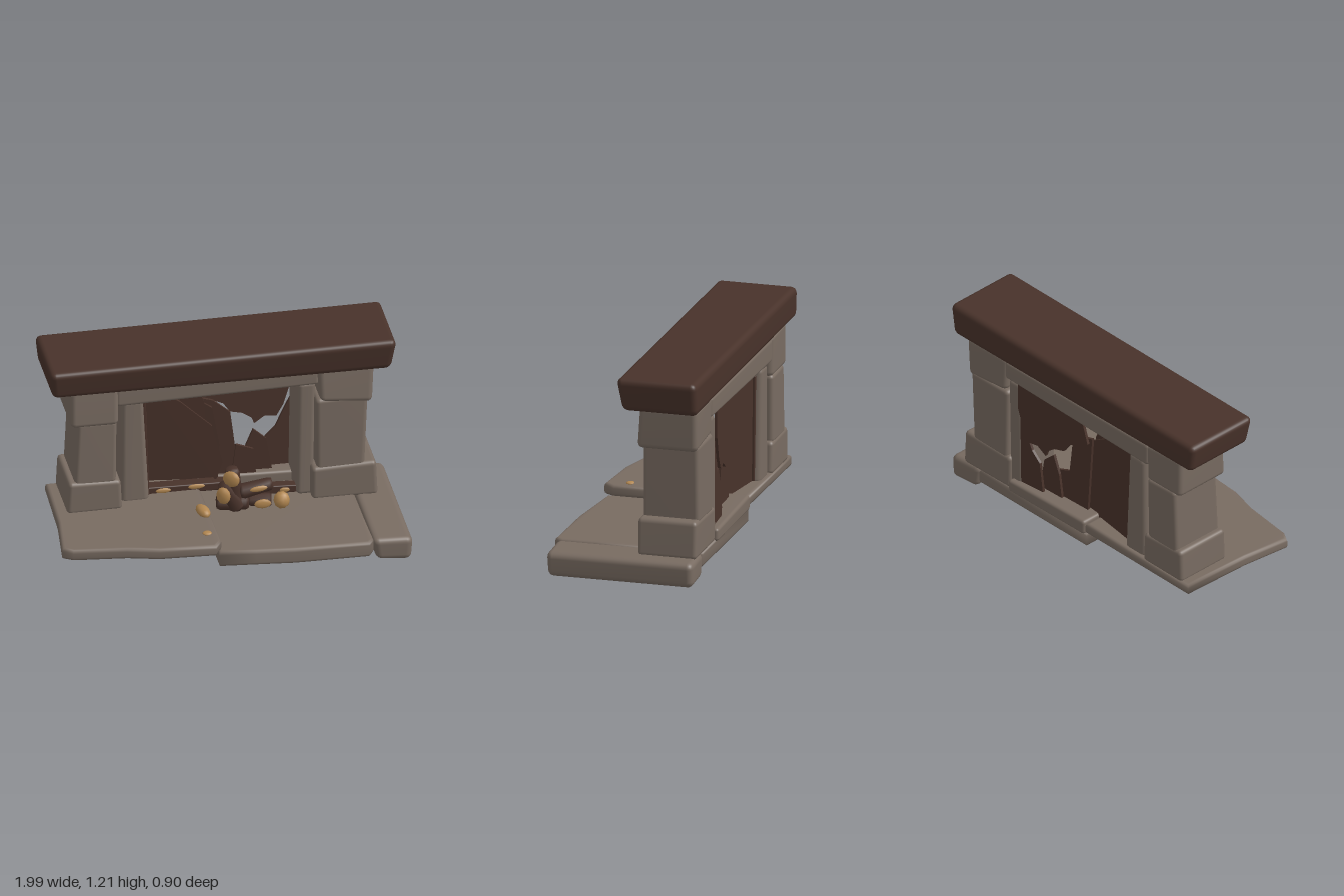
import * as THREE from 'three';
import { mergeVertices } from 'three/addons/utils/BufferGeometryUtils.js';
import { RoundedBoxGeometry } from 'three/addons/geometries/RoundedBoxGeometry.js';

const stone = new THREE.MeshStandardMaterial({ name: 'stone', color: 0x786b61 });
const darkWood = new THREE.MeshStandardMaterial({ name: 'darkWood', color: 0x48322a });
const rawWood = new THREE.MeshStandardMaterial({ name: 'rawWood', color: 0xb28751 });

const lerp = THREE.MathUtils.lerp;

// Move every vertex by a rule
function warp(geo, rule) {
  const p = geo.attributes.position, v = new THREE.Vector3();
  for (let i = 0; i < p.count; i++) {
    rule(v.fromBufferAttribute(p, i));
    p.setXYZ(i, v.x, v.y, v.z);
  }
  return geo;
}

function smooth(geo) {
  geo.deleteAttribute('normal');
  geo.deleteAttribute('uv');
  const merged = mergeVertices(geo, 1e-4);
  merged.clearGroups();
  merged.computeVertexNormals();
  return merged;
}

function part(name, geo, mat) {
  const mesh = new THREE.Mesh(geo, mat);
  mesh.name = name;
  return mesh;
}

// Rounded block fitted to a front quad (bl, br, tr, tl) and a depth range
function block(name, mat, quad, frontBottom, frontTop, back, radius = 0.025) {
  const [bl, br, tr, tl] = quad;
  const w = br[0] - bl[0], h = tl[1] - bl[1], d = frontTop - back;
  const geo = warp(new RoundedBoxGeometry(w, h, d, 3, radius), (v) => {
    const s = v.x / w + 0.5, t = v.y / h + 0.5, k = v.z / d + 0.5;
    v.set(
      lerp(lerp(bl[0], br[0], s), lerp(tl[0], tr[0], s), t),
      lerp(lerp(bl[1], br[1], s), lerp(tl[1], tr[1], s), t),
      lerp(back, lerp(frontBottom, frontTop, t), k));
  });
  return part(name, smooth(geo), mat);
}

function outline(points) {
  return new THREE.Shape(points.map(([x, y]) => new THREE.Vector2(x, y)));
}

// Bevelled floor slab from a plan outline given as x, z
function slab(name, plan, bottom, top, slope) {
  const b = 0.02;
  const geo = new THREE.ExtrudeGeometry(outline(plan.map(([x, z]) => [x, -z])), {
    depth: top - bottom - 2 * b, bevelSize: b, bevelThickness: b, bevelOffset: -b, bevelSegments: 3,
  });
  geo.rotateX(-Math.PI / 2).translate(0, bottom + b, 0);
  warp(geo, (v) => { v.y += slope * v.x; });
  return part(name, smooth(geo), stone);
}

// Splintered board standing at z, skewed along x
function board(name, points, z, skew = 0) {
  const geo = new THREE.ExtrudeGeometry(outline(points), { depth: 0.016, bevelEnabled: false });
  warp(geo, (v) => { v.z += z + skew * v.x; });
  geo.computeVertexNormals();
  return part(name, geo, darkWood);
}

// Tapered, slightly rounded log between two points
function log(name, from, to, r0, r1) {
  const a = new THREE.Vector3(...from), b = new THREE.Vector3(...to);
  const dir = b.clone().sub(a), h = dir.length() / 2;
  const profile = [[0, -h], [r0 * 0.8, -h], [r0, -h * 0.8], [r1, h * 0.8], [r1 * 0.8, h], [0, h]];
  const geo = new THREE.LatheGeometry(profile.map(([x, y]) => new THREE.Vector2(x, y)), 9);
  const mesh = part(name, geo, darkWood);
  mesh.position.copy(a).add(b).multiplyScalar(0.5);
  mesh.quaternion.setFromUnitVectors(new THREE.Vector3(0, 1, 0), dir.normalize());
  return mesh;
}

// Lump of bare wood
function chip(name, pos, size, turn = 0, roll = 0) {
  const mesh = part(name, smooth(new THREE.IcosahedronGeometry(1, 1)), rawWood);
  mesh.position.set(...pos);
  mesh.scale.set(...size);
  mesh.rotation.set(0, turn, roll);
  return mesh;
}

export function createModel() {
  const model = new THREE.Group();
  model.name = 'brokenFireplace';

  // Floor slabs
  model.add(
    slab('leftSlab', [[-0.94, -0.43], [-0.1, -0.43], [-0.09, 0.36], [-0.13, 0.425], [-0.45, 0.405],
      [-0.63, 0.36], [-0.93, 0.325], [-0.99, 0.29], [-0.955, 0]], 0.155, 0.224, -0.005),
    slab('middleSlab', [[-0.11, -0.43], [0.765, -0.43], [0.77, 0.2], [0.775, 0.4], [0.745, 0.447],
      [0.32, 0.442], [0.1, 0.42], [-0.11, 0.4]], 0.066, 0.162, -0.01),
    block('rightSlab', stone, [[0.79, 0.015], [0.99, -0.005], [1.0, 0.14], [0.765, 0.155]], 0.42, 0.428, -0.435, 0.035),
    block('backSill', stone, [[-0.1, 0.15], [0.52, 0.14], [0.52, 0.215], [-0.1, 0.24]], -0.3, -0.3, -0.445, 0.02));

  // Columns, each of base, shaft and capital
  model.add(
    block('leftBase', stone, [[-0.885, 0.215], [-0.565, 0.215], [-0.575, 0.405], [-0.875, 0.418]], -0.08, -0.08, -0.43),
    block('leftShaft', stone, [[-0.84, 0.38], [-0.6, 0.39], [-0.595, 0.79], [-0.82, 0.8]], -0.09, -0.095, -0.425),
    block('leftCapital', stone, [[-0.865, 0.785], [-0.59, 0.78], [-0.59, 1.02], [-0.865, 1.04]], -0.065, -0.08, -0.425, 0.03),
    block('rightBase', stone, [[0.52, 0.145], [0.9, 0.135], [0.89, 0.358], [0.52, 0.352]], -0.08, -0.08, -0.43),
    block('rightShaft', stone, [[0.55, 0.33], [0.825, 0.33], [0.845, 0.79], [0.545, 0.79]], -0.09, -0.095, -0.425),
    block('rightCapital', stone, [[0.565, 0.79], [0.865, 0.755], [0.88, 1.01], [0.555, 1.01]], -0.065, -0.085, -0.425, 0.03));

  // Inner posts and lintel
  model.add(
    block('leftPost', stone, [[-0.565, 0.2], [-0.395, 0.2], [-0.43, 0.88], [-0.555, 0.88]], -0.15, -0.16, -0.41, 0.035),
    block('rightPost', stone, [[0.445, 0.15], [0.54, 0.15], [0.555, 0.875], [0.455, 0.875]], -0.14, -0.15, -0.41),
    block('lintel', stone, [[-0.6, 0.87], [0.57, 0.88], [0.57, 1.0], [-0.6, 1.015]], -0.11, -0.11, -0.425));

  // Mantel beam
  model.add(block('mantel', darkWood,
    [[-0.98, 1.03], [0.96, 0.997], [0.99, 1.192], [-1.0, 1.204]], -0.008, 0.022, -0.452, 0.035));

  // Broken back boards
  const boards = [
    ['leftBoard', [[-0.42, 0.22], [0.02, 0.2], [0.03, 0.45], [-0.01, 0.69], [-0.16, 0.79], [-0.38, 0.87], [-0.42, 0.84]], -0.31, 0.14],
    ['upperLeftBoard', [[-0.4, 0.88], [-0.28, 0.82], [-0.05, 0.62], [-0.055, 0.74], [-0.135, 0.9], [-0.25, 0.87]], -0.3, 0.1],
    ['upperRightBoard', [[-0.02, 0.9], [0.46, 0.9], [0.46, 0.73], [0.42, 0.6], [0.38, 0.53], [0.31, 0.54],
      [0.25, 0.5], [0.235, 0.54], [0.18, 0.58], [0.11, 0.6], [0.07, 0.66], [-0.07, 0.73]], -0.39, -0.07],
    ['middleShard', [[-0.02, 0.18], [0.2, 0.18], [0.13, 0.38], [0.1, 0.63], [0, 0.72], [-0.06, 0.74]], -0.34, 0],
    ['lowerShard', [[0.1, 0.18], [0.25, 0.18], [0.23, 0.38], [0.13, 0.42]], -0.33, 0],
    ['pointedShard', [[0.16, 0.18], [0.35, 0.18], [0.31, 0.42], [0.235, 0.49], [0.19, 0.38]], -0.36, 0],
    ['rightShard', [[0.28, 0.18], [0.46, 0.18], [0.46, 0.66], [0.42, 0.58], [0.37, 0.47], [0.31, 0.41]], -0.38, -0.05],
    ['leaningShard', [[0.0, 0.24], [0.04, 0.36], [-0.02, 0.6], [-0.2, 0.77], [-0.36, 0.87]], -0.26, 0.1],
  ];
  for (const b of boards) model.add(board(...b));

  // Side lining and fallen planks on the hearth
  model.add(
    block('sideLining', darkWood, [[-0.42, 0.22], [-0.39, 0.22], [-0.405, 0.84], [-0.425, 0.84]], -0.19, -0.22, -0.38, 0.006),
    block('fallenPlank', darkWood, [[-0.4, 0.215], [0.08, 0.2], [0.08, 0.25], [-0.4, 0.265]], -0.2, -0.2, -0.27, 0.008),
    block('fallenPlankRight', darkWood, [[0.05, 0.165], [0.45, 0.155], [0.45, 0.2], [0.05, 0.225]], -0.17, -0.17, -0.23, 0.008));
  for (const [x, y, z, w] of [[-0.31, 0.24, -0.197, 0.045], [-0.12, 0.245, -0.197, 0.05], [0.38, 0.18, -0.168, 0.03]]) {
    model.add(chip('plankSplinter', [x, y, z], [w, 0.016, 0.008]));
  }

  // Log pile, split faces turned to the front
  model.add(
    log('uprightLog', [0.07, 0.2, -0.07], [0.055, 0.425, -0.055], 0.05, 0.042),
    log('leaningLog', [0.09, 0.17, -0.06], [0.0, 0.335, -0.045], 0.055, 0.04),
    log('crossLog', [0.1, 0.27, -0.05], [0.285, 0.31, -0.045], 0.045, 0.038),
    log('lowLog', [-0.03, 0.2, -0.08], [0.15, 0.2, -0.06], 0.045, 0.05),
    log('splitLog', [0.15, 0.2, -0.07], [0.28, 0.2, -0.05], 0.035, 0.04),
    chip('uprightLogFace', [0.045, 0.375, -0.025], [0.05, 0.052, 0.022], -0.5, 0.2),
    chip('leaningLogFace', [-0.002, 0.278, -0.015], [0.042, 0.055, 0.025], -0.5),
    chip('crossLogFace', [0.2, 0.3, -0.013], [0.055, 0.018, 0.012], 0, 0.1),
    chip('splitLogFace', [0.225, 0.195, -0.02], [0.05, 0.03, 0.012]),
    chip('stump', [0.335, 0.202, -0.03], [0.047, 0.052, 0.045]));

  // Loose wood chips
  model.add(
    chip('largeChip', [-0.135, 0.242, 0.065], [0.035, 0.028, 0.066], 0.25, 0.1),
    chip('smallChip', [-0.155, 0.227, 0.28], [0.027, 0.009, 0.024]));

  return model;
}
